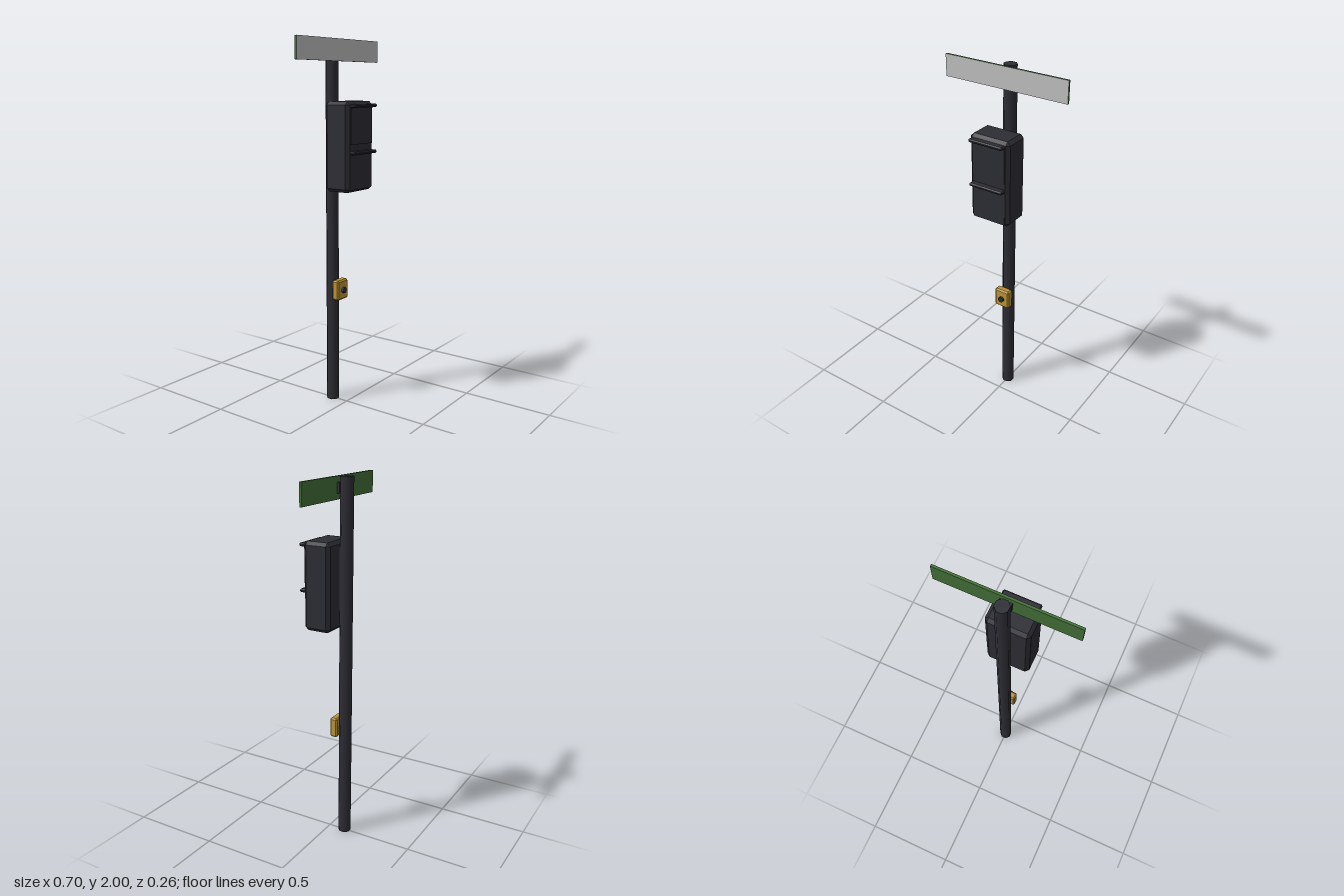
import * as THREE from 'three';
import { ConvexGeometry } from 'three/addons/geometries/ConvexGeometry.js';

const mat = (name, color) => {
  const m = new THREE.MeshStandardMaterial({ color });
  m.name = name;
  return m;
};

// Box with chamfered edges, given by its minimum and maximum corners
function chamferedBox(min, max, c) {
  const half = min.map((v, i) => (max[i] - v) / 2);
  const mid = min.map((v, i) => (max[i] + v) / 2);
  const points = [];
  for (const sx of [-1, 1]) for (const sy of [-1, 1]) for (const sz of [-1, 1]) {
    const s = [sx, sy, sz];
    for (let full = 0; full < 3; full++) {
      points.push(new THREE.Vector3(...s.map((k, i) => mid[i] + k * (half[i] - (i === full ? 0 : c)))));
    }
  }
  return new ConvexGeometry(points);
}

// Plain box from corners
function box(min, max) {
  const g = new THREE.BoxGeometry(...min.map((v, i) => max[i] - v));
  return g.translate(...min.map((v, i) => (v + max[i]) / 2));
}

export function createModel() {
  const group = new THREE.Group();
  const dark = mat('dark metal', 0x2d2d35);
  const yellow = mat('button yellow', 0xbb9436);
  const green = mat('sign green', 0x426f38);
  const grey = mat('sign face grey', 0xc0c0c0);

  const add = (name, geometry, material) => {
    const mesh = new THREE.Mesh(geometry, material);
    mesh.name = name;
    group.add(mesh);
    return mesh;
  };

  // Octagonal pole with flats facing the axes
  const pole = new THREE.CylinderGeometry(0.0352, 0.0352, 2, 8);
  pole.rotateY(Math.PI / 8).translate(0, 1, -0.097);
  add('pole', pole, dark);

  // Street sign: green plate with a pale front face, held by a bracket
  const sign = box([-0.352, 1.885, -0.056], [0.352, 2, -0.044]);
  add('sign', sign, [green, green, green, green, grey, green]);
  add('signBracket', box([-0.03, 1.915, -0.07], [0.03, 1.97, -0.055]), dark);

  // Signal housing
  add('signalHousing', chamferedBox([-0.117, 1.21, -0.06], [0.117, 1.68, 0.092], 0.018), dark);

  // Upper and lower signal panels, each under a visor
  for (const [name, bottom, top, front] of [['upper', 1.46, 1.65, 0.097], ['lower', 1.222, 1.41, 0.093]]) {
    add(name + 'Panel', box([-0.095, bottom, 0.09], [0.095, top, front]), dark);
    add(name + 'Visor', chamferedBox([-0.1, top - 0.002, 0.088], [0.1, top + 0.016, 0.127], 0.006), dark);
  }

  // Crossing button box with a round push button
  add('buttonBox', chamferedBox([-0.046, 0.595, -0.068], [0.046, 0.707, -0.024], 0.008), yellow);
  const button = new THREE.CylinderGeometry(0.017, 0.017, 0.014, 8);
  button.rotateY(Math.PI / 8).rotateX(Math.PI / 2).translate(0, 0.65, -0.019);
  add('pushButton', button, dark);

  return group;
}
